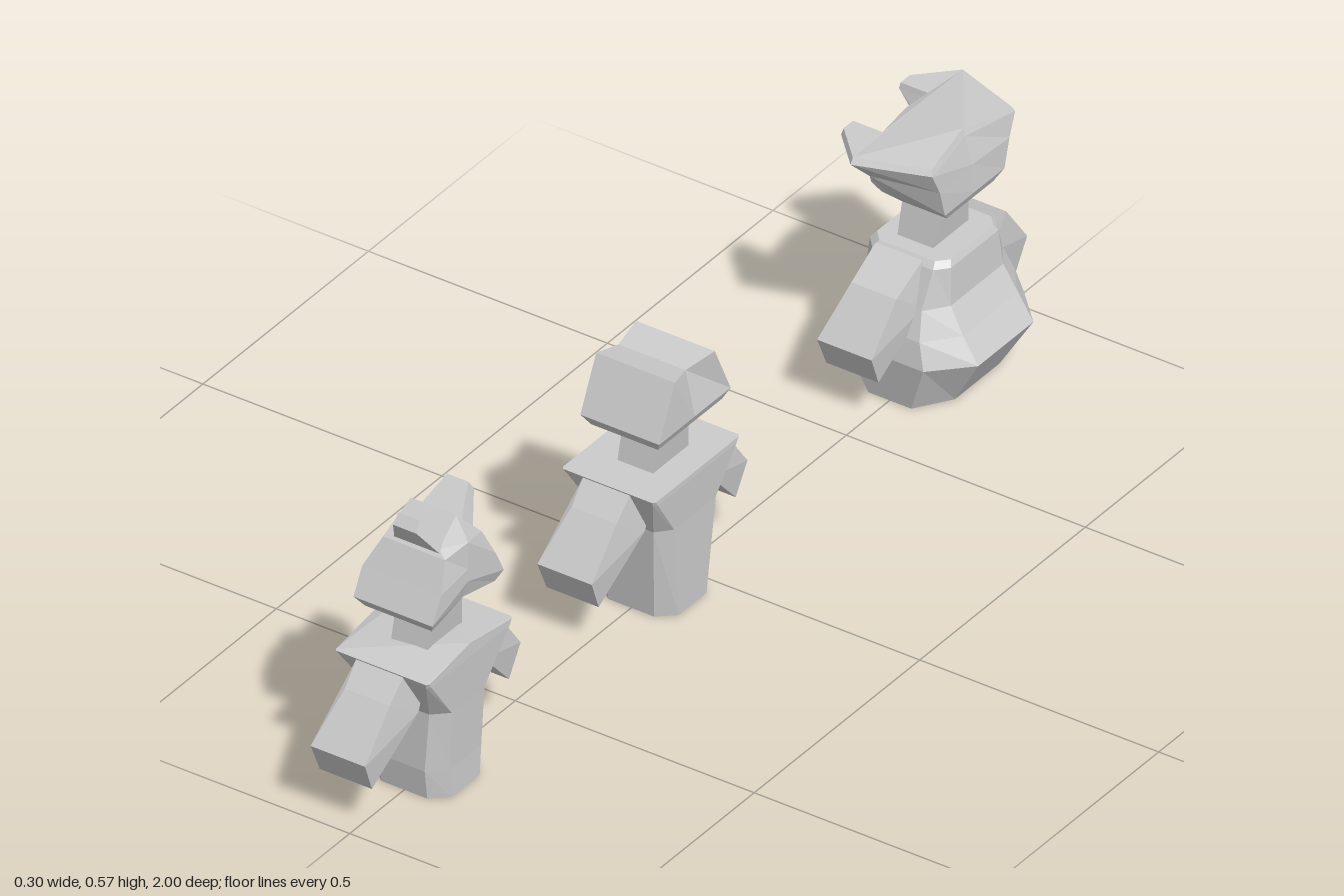
import * as THREE from 'three';
import { ConvexGeometry } from 'three/addons/geometries/ConvexGeometry.js';

const material = new THREE.MeshStandardMaterial({ color: 0xcccccc, flatShading: true });

function addMesh(parent, name, geometry) {
  const mesh = new THREE.Mesh(geometry, material);
  mesh.name = name;
  parent.add(mesh);
}

// Full ring from a half outline of [x, z, extra height], mirrored over z = 0.
function ring(y, half) {
  const side = half.map(([x, z, dy = 0]) => new THREE.Vector3(x, y + dy, z));
  const other = side.slice(1, -1).reverse().map(p => new THREE.Vector3(p.x, p.y, -p.z));
  return [...side, ...other];
}

// Closed, faceted skin through a stack of rings.
function loft(levels) {
  const rings = levels.map(([y, half]) => ring(y, half));
  const out = [];
  const tri = (...pts) => pts.forEach(p => out.push(p.x, p.y, p.z));
  for (let r = 0; r < rings.length - 1; r++) {
    const lo = rings[r], hi = rings[r + 1];
    lo.forEach((a, i) => {
      const j = (i + 1) % lo.length;
      tri(a, hi[i], hi[j]);
      tri(a, hi[j], lo[j]);
    });
  }
  const cap = (pts, up) => {
    const flat = pts.map(p => new THREE.Vector2(p.x, p.z));
    for (const [i, j, k] of THREE.ShapeUtils.triangulateShape(flat, [])) {
      const [a, b, c] = [pts[i], pts[j], pts[k]];
      const ny = (b.z - a.z) * (c.x - a.x) - (b.x - a.x) * (c.z - a.z);
      if ((ny > 0) === up) tri(a, b, c); else tri(a, c, b);
    }
  };
  cap(rings[0], false);
  cap(rings.at(-1), true);
  const geometry = new THREE.BufferGeometry();
  geometry.setAttribute('position', new THREE.Float32BufferAttribute(out, 3));
  geometry.computeVertexNormals();
  return geometry;
}

// Convex block from edges running along x: [xMin, xMax, y, z].
function block(edges) {
  return new ConvexGeometry(edges.flatMap(([x0, x1, y, z]) =>
    [new THREE.Vector3(x0, y, z), new THREE.Vector3(x1, y, z)]));
}

// Half of an eight-sided outline: back and front x, half depth, corner cut.
function octagon(x0, x1, z, cut, rise = 0) {
  const c = cut * (x1 - x0) / 2;
  return [[x1, 0, rise], [x1, z * (1 - cut)], [x1 - c, z], [x0 + c, z], [x0, z * (1 - cut)], [x0, 0, rise]];
}

const bodies = {
  slim: [
    [0, octagon(-0.08, 0.08, 0.07, 0.4)],
    [0.06, octagon(-0.08, 0.08, 0.078, 0.4)],
    [0.18, octagon(-0.08, 0.085, 0.076, 0.35)],
    [0.272, octagon(-0.1, 0.09, 0.126, 0.06)],
    [0.282, octagon(-0.105, 0.09, 0.13, 0.04, 0.018)],
  ],
  tapered: [
    [0, octagon(-0.08, 0.08, 0.07, 0.4)],
    [0.19, octagon(-0.08, 0.085, 0.09, 0.3)],
    [0.272, octagon(-0.1, 0.09, 0.126, 0.06)],
    [0.282, octagon(-0.105, 0.09, 0.13, 0.04)],
  ],
  round: [
    [0, octagon(-0.09, 0.09, 0.134, 0.5)],
    [0.1, octagon(-0.15, 0.15, 0.152, 0.45)],
    [0.15, octagon(-0.118, 0.118, 0.143, 0.42)],
    [0.2, octagon(-0.09, 0.09, 0.122, 0.35)],
    [0.272, octagon(-0.085, 0.085, 0.095, 0.25)],
    [0.284, octagon(-0.075, 0.08, 0.085, 0.25)],
  ],
};

const box = (x0, x1, z, dy = 0) => [[x1, 0, dy], [x1, z], [x0, z], [x0, 0]];

const heads = {
  // pointed head with a chevron jaw
  eared: [
    [0.37, box(-0.065, 0.075, 0.095, 0.02)],
    [0.39, box(-0.08, 0.085, 0.108, 0.035)],
    [0.44, box(-0.08, 0.085, 0.082, 0.01)],
    [0.495, [[0.085, 0, 0.01], [0.075, 0.055], [-0.055, 0.055], [-0.06, 0, 0.01]]],
    [0.505, [[0.06, 0, 0.048], [0.055, 0.045], [-0.035, 0.045], [-0.035, 0, 0.048]]],
  ],
  // roof-like head with a shallow valley on top
  plain: [
    [0.37, box(-0.065, 0.075, 0.097)],
    [0.39, box(-0.08, 0.085, 0.108)],
    [0.492, [[0.065, 0, -0.014], [0.085, 0.06], [-0.08, 0.06], [-0.075, 0, -0.014]]],
  ],
  // wide flared head with two prongs around a notch
  flared: [
    [0.37, [[0.075, 0], [0.075, 0.07], [-0.02, 0.07], [-0.065, 0.065], [-0.065, 0.05], [-0.06, 0.045], [-0.06, 0]]],
    [0.39, [[0.085, 0], [0.085, 0.09], [-0.03, 0.09], [-0.08, 0.075], [-0.08, 0.055], [-0.07, 0.05], [-0.07, 0]]],
    [0.445, [[0.08, 0], [0.085, 0.105], [-0.045, 0.13], [-0.08, 0.09], [-0.08, 0.062], [-0.068, 0.06], [-0.068, 0]]],
    [0.488, [[0.065, 0, 0.01], [0.083, 0.125], [-0.055, 0.173], [-0.122, 0.105], [-0.122, 0.07], [-0.062, 0.07], [-0.062, 0]]],
    [0.499, [[0.06, 0, 0.013], [0.078, 0.12], [-0.055, 0.166], [-0.12, 0.1], [-0.12, 0.072], [-0.058, 0.072], [-0.058, 0, 0.012]]],
  ],
};

function makeFigure(name, z, bodyType, headType) {
  const figure = new THREE.Group();
  figure.name = name;
  figure.position.z = z;
  addMesh(figure, 'body', loft(bodies[bodyType]));
  addMesh(figure, 'neck', loft([
    [0.27, box(-0.04, 0.033, 0.056)],
    [0.38, box(-0.037, 0.047, 0.036)],
  ]));
  addMesh(figure, 'head', loft(heads[headType]));

  for (const s of [1, -1]) {
    const side = s > 0 ? 'Front' : 'Back';
    const shoulder = bodyType === 'round' ? 0.09 : 0.128;
    // arm sloping out and down to a square cut end
    addMesh(figure, 'arm' + side, block([
      [-0.06, 0.038, 0.28, s * shoulder], [-0.058, 0.036, 0.24, s * 0.166],
      [-0.082, 0.032, 0.15, s * 0.235], [-0.082, 0.027, 0.087, s * 0.207],
      [-0.055, 0.05, 0.195, s * 0.1], [-0.05, 0.045, 0.25, s * 0.07],
    ]));
    // ears leaning outwards
    if (headType === 'eared') addMesh(figure, 'ear' + side, block([
      [-0.035, 0.06, 0.5, s * 0.05], [-0.012, 0.037, 0.553, s * 0.087],
      [-0.01, 0.034, 0.572, s * 0.073], [-0.03, 0.055, 0.53, s * 0.025],
    ]));
  }
  return figure;
}

export function createModel() {
  const model = new THREE.Group();
  model.name = 'threeBusts';
  model.add(
    makeFigure('earedFigure', 0.765, 'slim', 'eared'),
    makeFigure('plainFigure', 0.08, 'tapered', 'plain'),
    makeFigure('roundFigure', -0.765, 'round', 'flared'),
  );
  return model;
}
